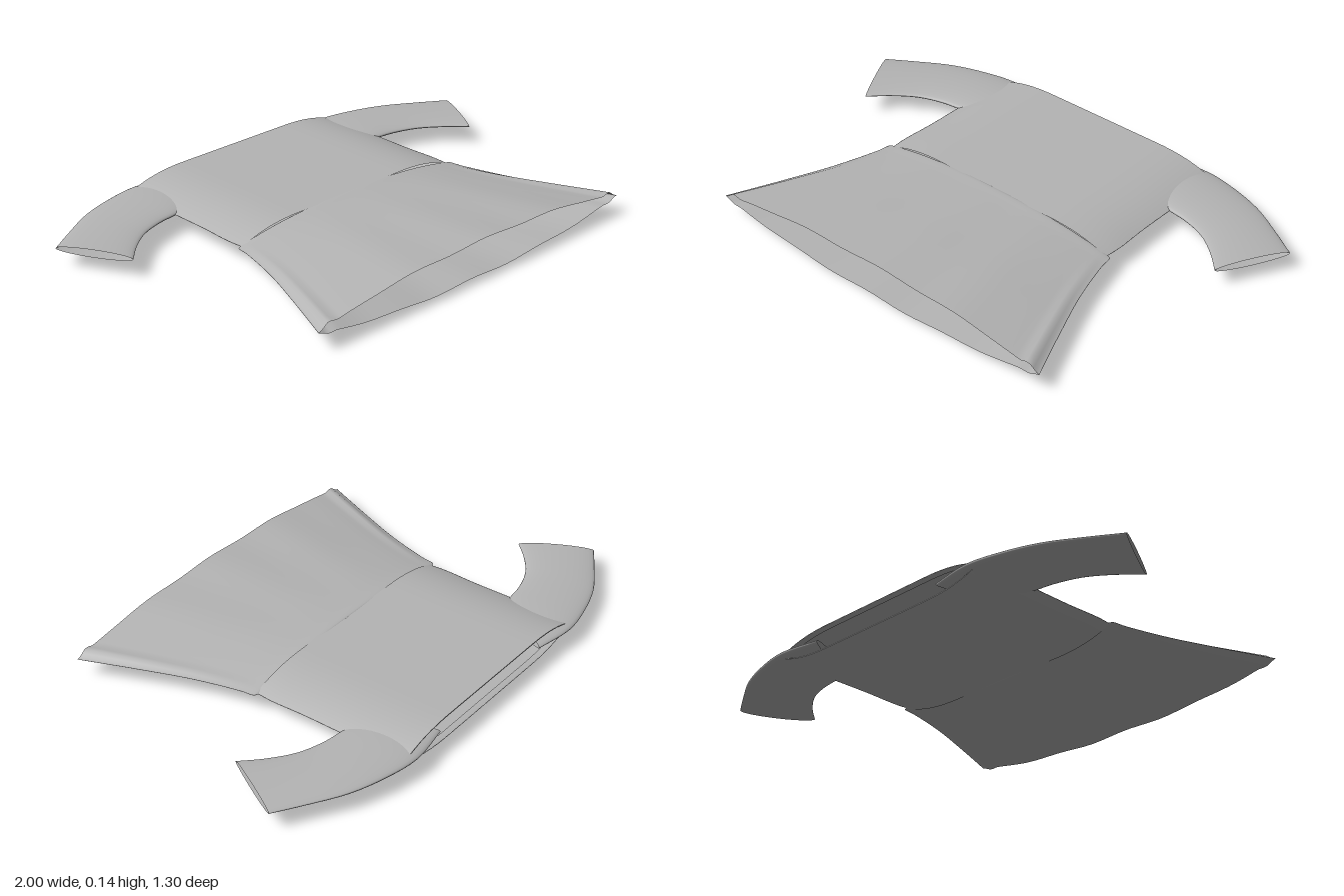
import * as THREE from 'three';

const MID = 0.077; // height of the flat garment's middle plane

// Skin a list of closed rings (arrays of Vector3) into one smooth open tube.
function loft(rings) {
  const n = rings[0].length;
  const geo = new THREE.BufferGeometry().setFromPoints(rings.flat());
  const index = [];
  for (let i = 0; i < rings.length - 1; i++) {
    for (let j = 0; j < n; j++) {
      const a = i * n + j, b = i * n + (j + 1) % n;
      index.push(a, b, a + n, b, b + n, a + n);
    }
  }
  geo.setIndex(index);
  geo.computeVertexNormals();
  return geo;
}

// Flat cloth ring between two edge points; height(u, side) gives the half thickness.
function clothRing(a, b, height, steps = 32) {
  const ring = [];
  for (let k = 0; k < 2 * steps; k++) {
    const t = Math.PI * k / steps;
    const u = Math.cos(t), side = k <= steps ? 1 : -1;
    const f = (1 + u) / 2;
    ring.push(new THREE.Vector3(
      a[0] + (b[0] - a[0]) * f,
      MID + side * height(u, side),
      a[1] + (b[1] - a[1]) * f));
  }
  return ring;
}

// Interpolate rows of numbers along a smooth curve.
function smoothRows(rows, count) {
  const curve = new THREE.CatmullRomCurve3(rows.map(r => new THREE.Vector3(...r)));
  return curve.getPoints(count);
}

export function createModel() {
  const model = new THREE.Group();
  model.name = 'garment';
  const cloth = new THREE.MeshStandardMaterial({ color: 0xb4b4b4, side: THREE.DoubleSide });
  cloth.name = 'grey cloth';
  const add = (name, geo) => {
    const mesh = new THREE.Mesh(geo, cloth);
    mesh.name = name;
    model.add(mesh);
  };

  // Bodice: flat middle panel, tapering to thin side seams
  const panel = (w, z, h) => clothRing([-w, z], [w, z], u => {
    const s = Math.max(0, (Math.abs(u) - 0.5) / 0.5);
    return h * (1 - s * s * (0.6 + 0.4 * s));
  });
  const bodiceRows = smoothRows([
    [0.52, 0.047, -0.63], [0.525, 0.047, -0.42], [0.525, 0.047, -0.2],
    [0.53, 0.047, -0.06], [0.525, 0.047, 0.01]], 16);
  add('bodice', loft(bodiceRows.map(p => panel(p.x, p.z, p.y))));

  // Neck hem folded to the inside
  add('neckHem', loft([panel(0.52, -0.63, 0.047), panel(0.515, -0.63, 0.043), panel(0.515, -0.605, 0.043)]));

  // Skirt: flares toward the hem with soft ripples and a shallow pleat by each side
  const skirtRows = smoothRows([
    [0.527, 0.045, 0], [0.541, 0.049, 0.008], [0.55, 0.05, 0.06], [0.6, 0.055, 0.24],
    [0.672, 0.062, 0.43], [0.762, 0.068, 0.65]], 32);
  add('skirt', loft(skirtRows.map(p => {
    const k = Math.max(0, p.z / 0.65);
    return clothRing([-p.x, p.z], [p.x, p.z], (u, side) => {
      const body = p.y * (1 - Math.pow(Math.abs(u), 2.6));
      const edge = 1 - u * u;
      const ripple = 0.004 * k * edge * Math.sin(13 * u + side);
      const pleat = 0.016 * k * Math.exp(-Math.pow((Math.abs(u) - 0.94) / 0.03, 2));
      return body + ripple + pleat * (side > 0 ? 1 : 0.5);
    }, 48);
  })));

  // Sleeves: thin curved tubes, starting inside the shoulder and open at the cuff
  const upper = smoothRows([[0.31, 0.018, -0.63], [0.48, 0.022, -0.655], [0.62, 0.021, -0.632],
    [0.76, 0.018, -0.585], [0.89, 0.016, -0.51], [1, 0.015, -0.44]], 20);
  const lower = smoothRows([[0.44, 0, -0.38], [0.52, 0, -0.362], [0.6, 0, -0.35],
    [0.7, 0, -0.315], [0.79, 0, -0.25], [0.86, 0, -0.18]], 20);
  for (const s of [1, -1]) {
    const rings = upper.map((p, i) => clothRing(
      [s * p.x, p.z], [s * lower[i].x, lower[i].z],
      u => p.y * Math.sqrt(Math.max(0, 1 - u * u)), 16));
    if (s > 0) rings.forEach(r => r.reverse());
    add(s > 0 ? 'leftSleeve' : 'rightSleeve', loft(rings));
  }
  return model;
}
